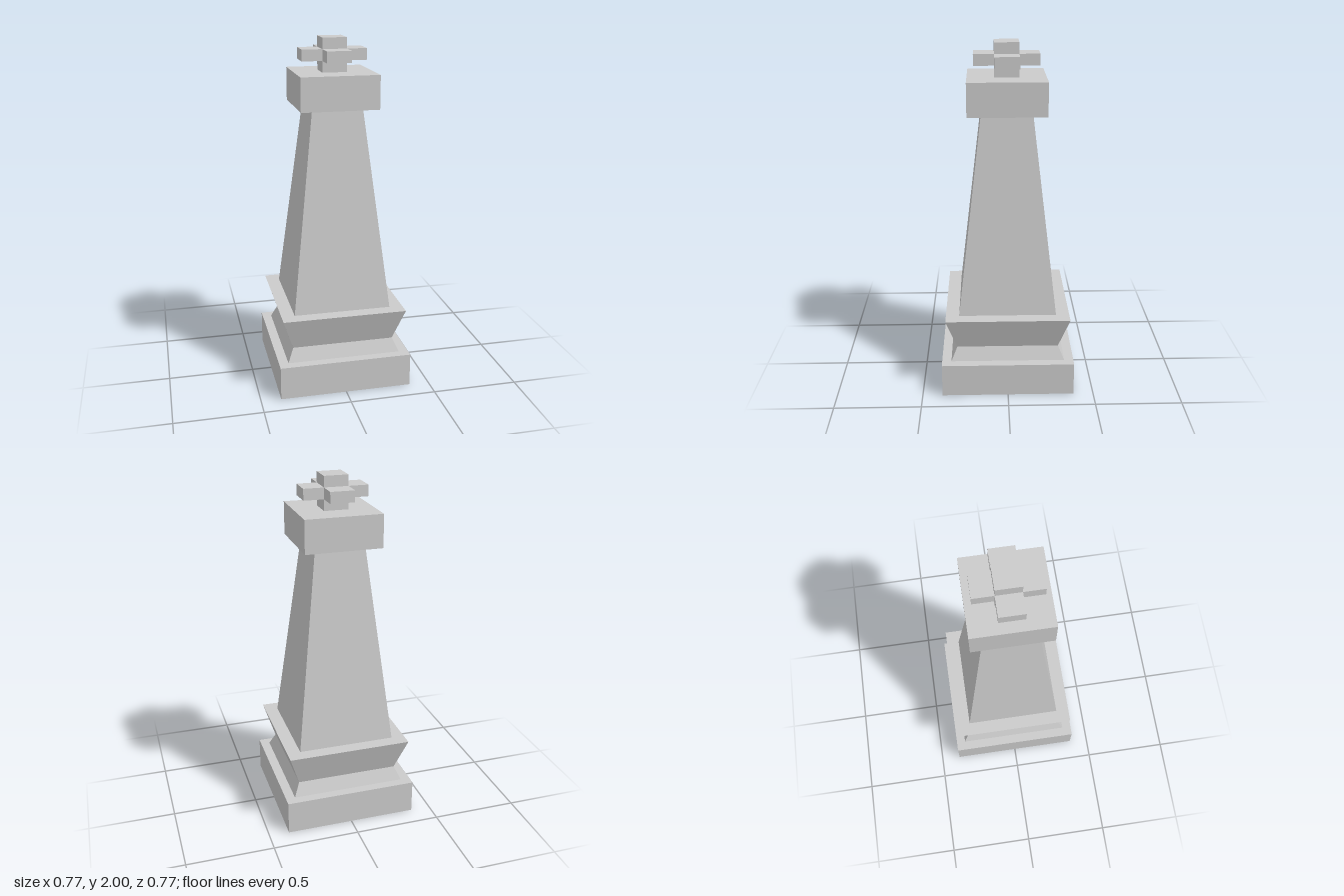
import * as THREE from 'three';

const material = new THREE.MeshStandardMaterial({ color: 0xcccccc, flatShading: true });

// Square tier between two heights, with half-widths at its bottom and top
function tier(name, y0, y1, bottom, top = bottom) {
  const geometry = new THREE.CylinderGeometry(top * Math.SQRT2, bottom * Math.SQRT2, y1 - y0, 4);
  geometry.rotateY(Math.PI / 4);
  geometry.translate(0, (y0 + y1) / 2, 0);
  const mesh = new THREE.Mesh(geometry, material);
  mesh.name = name;
  return mesh;
}

export function createModel() {
  const model = new THREE.Group();
  model.name = 'chessKing';

  // Stacked body, from the foot up
  model.add(
    tier('base', 0, 0.195, 0.384),
    tier('neck', 0.195, 0.272, 0.33, 0.295),
    tier('flare', 0.272, 0.465, 0.295, 0.358),
    tier('shaft', 0.465, 1.62, 0.281, 0.144),
    tier('collar', 1.62, 1.81, 0.221)
  );

  // Crown: a square post with an arm on each side
  const crown = new THREE.Group();
  crown.name = 'crown';
  const half = 0.069, reach = 0.184;
  crown.add(tier('crownPost', 1.81, 2, half));
  for (let i = 0; i < 4; i++) {
    const geometry = new THREE.BoxGeometry(reach - half, 0.064, half * 2);
    geometry.translate((reach + half) / 2, 1.906, 0);
    const arm = new THREE.Mesh(geometry, material);
    arm.name = 'crownArm';
    arm.rotation.y = i * Math.PI / 2;
    crown.add(arm);
  }
  model.add(crown);
  return model;
}
